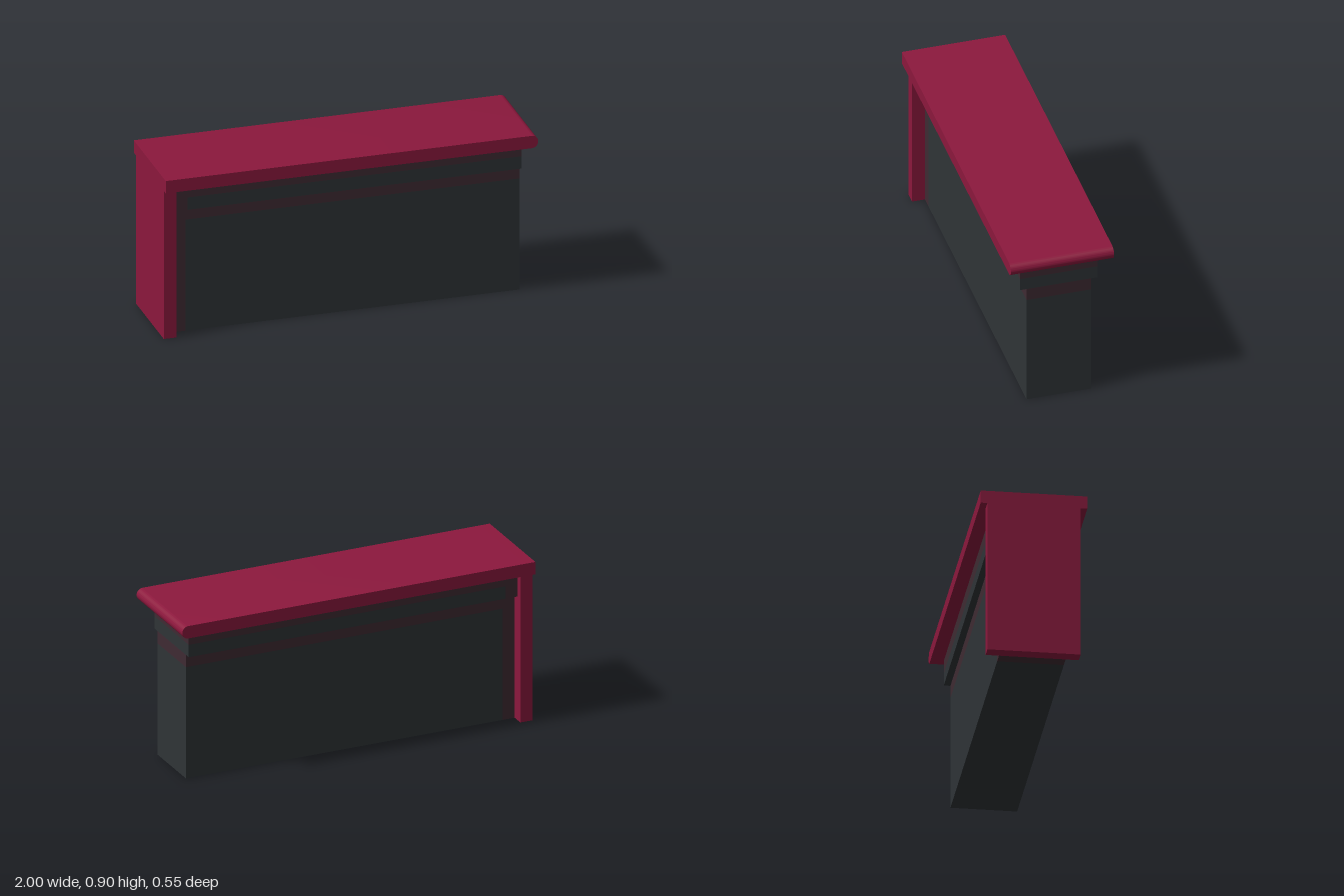
import * as THREE from 'three';
import { toCreasedNormals } from 'three/addons/utils/BufferGeometryUtils.js';

const U = 2 / 29; // the model is laid out on a regular unit grid, 29 units long

const red = new THREE.MeshStandardMaterial({ color: 0x8c183d });
const dark = new THREE.MeshStandardMaterial({ color: 0x2f3437 });
const shade = new THREE.MeshStandardMaterial({ color: 0x3f2b33 });

// Box given in grid units: x range from the left end, y range, half depth in z
function box(name, x0, x1, y0, y1, halfZ, material) {
  const geometry = new THREE.BoxGeometry((x1 - x0) * U, (y1 - y0) * U, 2 * halfZ * U);
  const mesh = new THREE.Mesh(geometry, material);
  mesh.position.set(((x0 + x1) / 2) * U - 1, ((y0 + y1) / 2) * U, 0);
  mesh.name = name;
  return mesh;
}

// A dark block with tinted bands along its top and beside the end panel
function bandedBlock(name, y0, y1, halfZ) {
  const group = new THREE.Group();
  group.name = name;
  group.add(
    box(name + 'Core', 2, 28, y0, y1 - 1, halfZ, dark),
    box(name + 'TopBand', 2, 28, y1 - 1, y1, halfZ, shade),
    box(name + 'EndBand', 1, 2, y0, y1, halfZ, shade)
  );
  return group;
}

// Counter slab with one rounded end
function counterTop() {
  const r = U / 2;
  const shape = new THREE.Shape();
  shape.moveTo(-1, -r);
  shape.lineTo(1 - r, -r);
  shape.absarc(1 - r, 0, r, -Math.PI / 2, Math.PI / 2, false);
  shape.lineTo(-1, r);
  shape.closePath();
  const extruded = new THREE.ExtrudeGeometry(shape, {
    depth: 8 * U, bevelEnabled: false, curveSegments: 16,
  });
  extruded.translate(0, 12.5 * U, -4 * U);
  const mesh = new THREE.Mesh(toCreasedNormals(extruded, Math.PI / 6), red);
  mesh.name = 'counterTop';
  return mesh;
}

export function createModel() {
  const model = new THREE.Group();
  model.name = 'counter';
  model.add(
    box('endPanel', 0, 1, 0, 12, 3.5, red),
    bandedBlock('body', 0, 10, 2.5),
    bandedBlock('apron', 10, 12, 3),
    counterTop()
  );
  return model;
}
